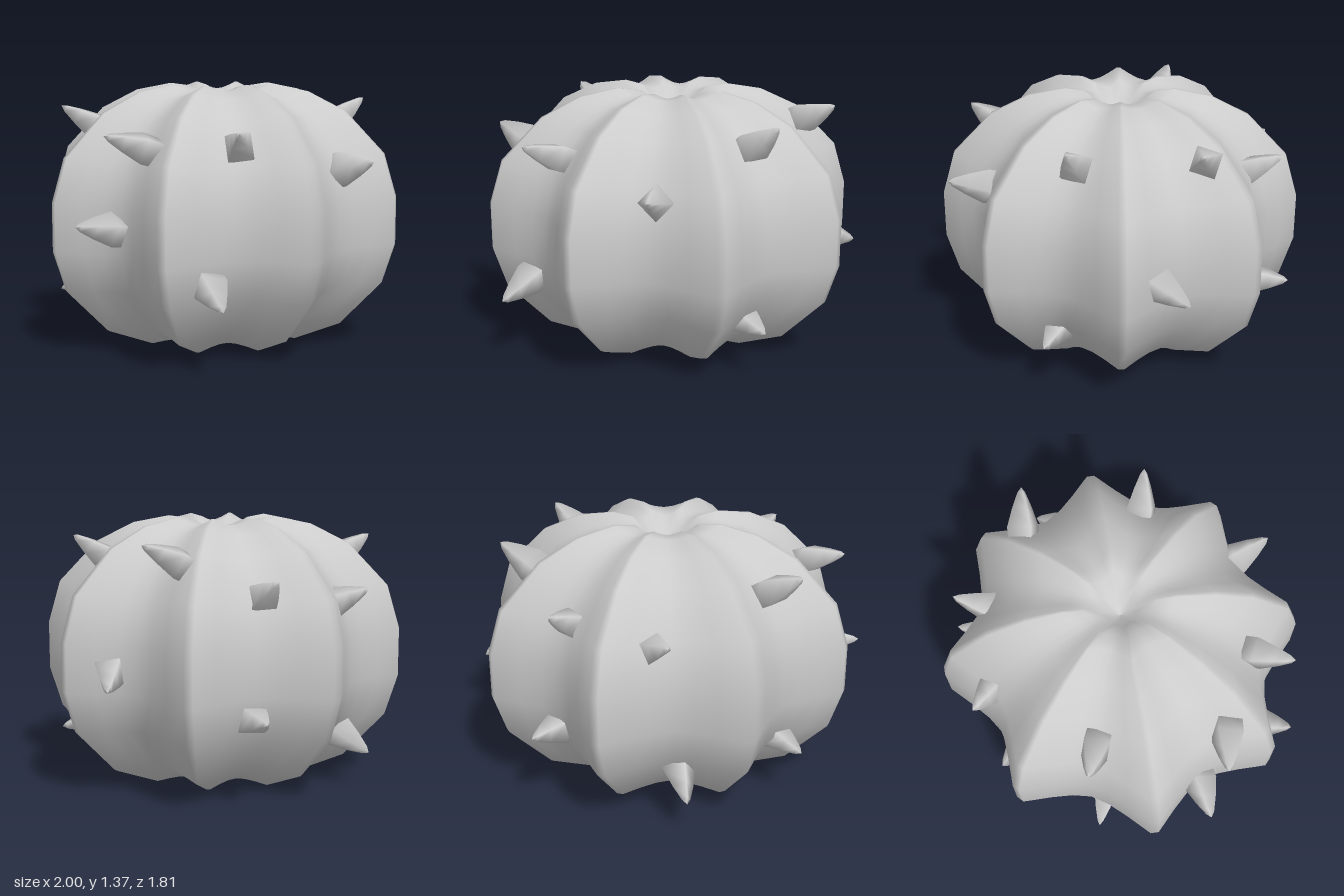
import * as THREE from 'three';

const material = new THREE.MeshStandardMaterial({ color: 0xcccccc });

// Ridge profile from bottom dimple to top dimple: [radius fraction, height]
const PROFILE = [
  [0, 0.14], [0.1, 0.09], [0.22, 0.015], [0.44, 0], [0.7, 0.1], [0.93, 0.33], [1, 0.54], [1, 0.79],
  [0.93, 1.016], [0.71, 1.235], [0.5, 1.335], [0.3, 1.372], [0.19, 1.36], [0.09, 1.27], [0, 1.22],
];
// One rib, valley to valley: [angle in degrees, depth: 0 at ridge, 1 in valley]
const RIB = [[0, 1], [7, 0.87], [14, 0.54], [21.2, 0], [23.8, 0], [31, 0.54], [38, 0.87]];
const RIBS = 8, MID_Y = 0.67;

// Ribbed, flattened ball with a dimple at each pole
function bodyGeometry() {
  const positions = [], index = [];
  const n = RIBS * RIB.length;
  for (const [f, y] of PROFILE) {
    for (let k = 0; k < RIBS; k++) {
      for (const [deg, depth] of RIB) {
        const a = THREE.MathUtils.degToRad(deg + k * 360 / RIBS);
        const r = f * (1 - 0.185 * depth);
        const squash = 1 - 0.05 * depth * Math.min(1, f * 4);
        positions.push(0.98 * r * Math.sin(a), MID_Y + (y - MID_Y) * squash, 0.937 * r * Math.cos(a));
      }
    }
  }
  for (let i = 0; i < PROFILE.length - 1; i++) {
    for (let j = 0; j < n; j++) {
      const a = i * n + j, b = i * n + (j + 1) % n;
      if (i > 0) index.push(a, b, b + n);
      if (i < PROFILE.length - 2) index.push(a, b + n, a + n);
      else if (i === 0) index.push(a, b + n, a + n);
    }
  }
  const g = new THREE.BufferGeometry();
  g.setAttribute('position', new THREE.Float32BufferAttribute(positions, 3));
  g.setIndex(index);
  g.computeVertexNormals();
  return g;
}

// Thorns: [tip, point near the root]
const THORNS = [
  [[0.05, 1.01, 0.9], [0.06, 0.95, 0.68]],
  [[-0.63, 1.17, 0.58], [-0.42, 1.06, 0.42]],
  [[0.62, 1.29, 0.48], [0.45, 1.13, 0.35]],
  [[0.87, 1.28, -0.11], [0.66, 1.16, -0.23]],
  [[0.6, 1.11, -0.69], [0.48, 1.0, -0.53]],
  [[0.71, 0.46, -0.7], [0.57, 0.44, -0.53]],
  [[1.0, 0.59, 0.0], [0.82, 0.66, 0.11]],
  [[0.59, 0.27, 0.6], [0.41, 0.31, 0.42]],
  [[-0.05, 0.18, -0.88], [-0.02, 0.28, -0.72]],
  [[0.04, 1.04, -0.9], [0.13, 0.96, -0.72]],
  [[-0.92, 1.15, -0.01], [-0.72, 1.07, 0.12]],
  [[-1.0, 0.71, -0.13], [-0.8, 0.68, -0.07]],
  [[-0.76, 0.35, 0.59], [-0.65, 0.43, 0.42]],
  [[-0.61, 1.26, -0.61], [-0.42, 1.1, -0.44]],
  [[-0.65, 0.29, -0.6], [-0.48, 0.36, -0.44]],
];

// Four-sided thorn with bulging sides, tip at the origin, pointing up
function thornGeometry() {
  const pts = [[0, -0.31], [0.085, -0.3], [0.09, -0.2], [0.055, -0.1], [0.022, -0.025], [0, 0]];
  return new THREE.LatheGeometry(pts.map(([r, y]) => new THREE.Vector2(r, y)), 4);
}

export function createModel() {
  const group = new THREE.Group();
  group.name = 'thornyRibbedBall';

  const body = new THREE.Mesh(bodyGeometry(), material);
  body.name = 'ribbedBody';
  body.position.set(0.02, 0, -0.04);
  group.add(body);

  const thorn = thornGeometry();
  const up = new THREE.Vector3(0, 1, 0);
  THORNS.forEach(([tip, root], i) => {
    const mesh = new THREE.Mesh(thorn, material);
    const end = new THREE.Vector3(...tip);
    mesh.position.copy(end);
    mesh.quaternion.setFromUnitVectors(up, end.clone().sub(new THREE.Vector3(...root)).normalize());
    mesh.name = `thorn${i + 1}`;
    group.add(mesh);
  });
  return group;
}
